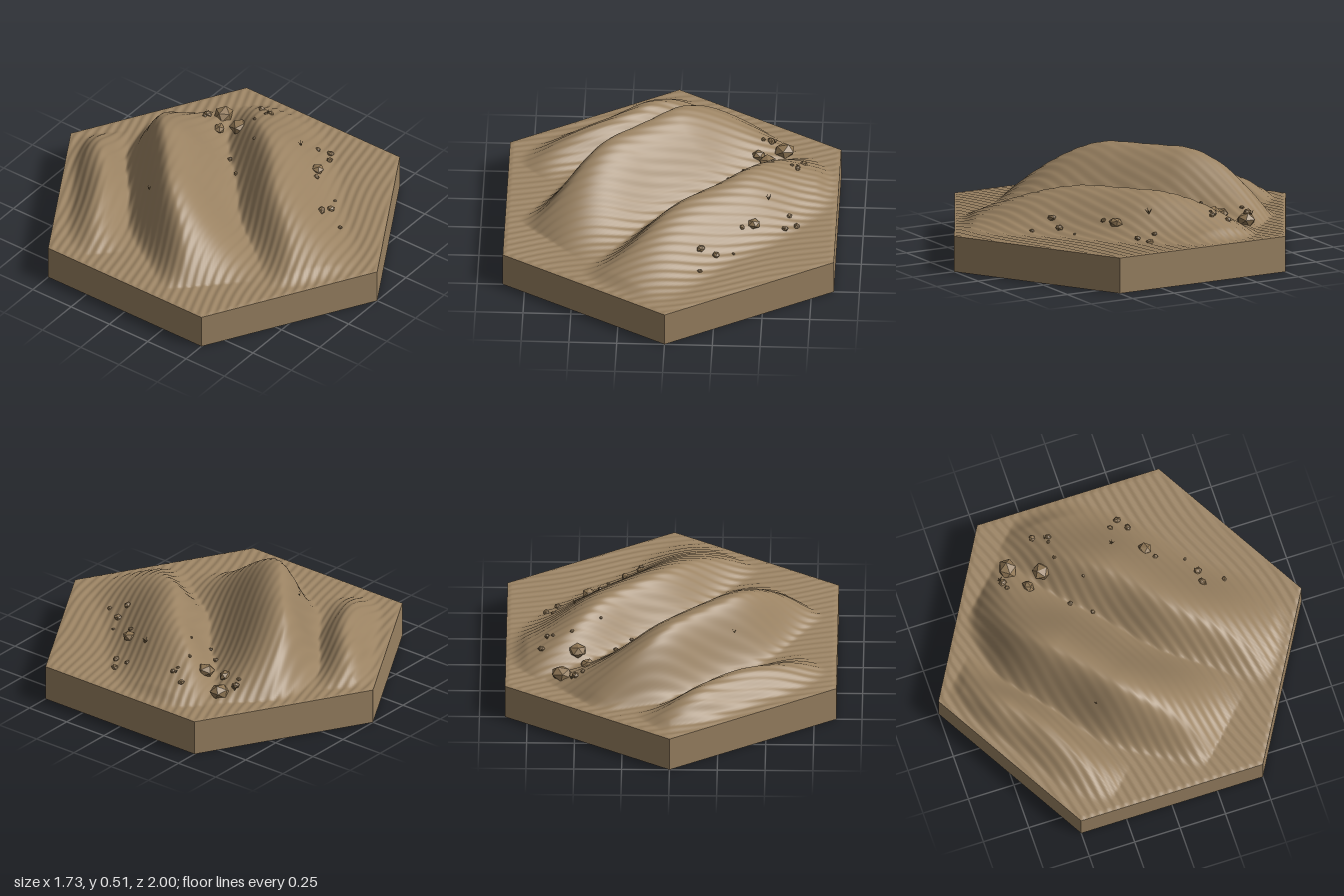
import * as THREE from 'three';
import { mergeVertices } from 'three/addons/utils/BufferGeometryUtils.js';

const BASE = 0.19;
const { smoothstep } = THREE.MathUtils;
const step = (a, b, t) => smoothstep(t, a, b);

// Each dune: u runs along its crest, v across it; the slip face is the short steep
// side, the windward face the long one. bend curves the far end of the crest.
const DUNES = [
  { height: 0.32, crest: -0.29, skew: 0, mid: 0, bend: 0.35, ends: [-0.7, -0.1, 0.24, 0.78], slip: 0.23, windward: 0.41 },
  { height: 0.21, crest: 0.27, skew: 0, mid: 0, bend: 0, ends: [-0.78, -0.05, 0.2, 0.8], slip: 0.23, windward: 0.37 },
  { height: 0.12, crest: -0.61, skew: 0.16, mid: 0.3, bend: 0, ends: [-0.35, 0.15, 0.35, 0.68], slip: 0.19, windward: 0.17 },
];

// Distance inwards from the nearest hexagon edge
function edgeDistance(x, z) {
  const ax = Math.abs(x), az = Math.abs(z);
  return Math.sqrt(0.75) - Math.max(ax, 0.5 * ax + Math.sqrt(0.75) * az);
}

function duneHeight(x, z) {
  const u = (x - z) * Math.SQRT1_2, v = (x + z) * Math.SQRT1_2;
  let sum = 0;
  for (const d of DUNES) {
    const [a, b, c, e] = d.ends;
    const along = Math.sqrt(step(a, b, u) * (1 - step(c, e, u)));
    const crest = d.crest + d.skew * (u - d.mid) + d.bend * Math.max(0, u - 0.1) ** 2 + 0.012 * Math.sin(u * 9);
    const w = v - crest;
    const slip = d.slip * (0.65 + 0.35 * along);
    const across = w < 0 ? step(-slip, 0, w) : 1 - step(0, d.windward, w);
    sum += Math.pow(d.height * along * across, 4);
  }
  return Math.pow(sum, 0.25);
}

// Dunes with wind ripples, fading to the flat rim
function ground(x, z) {
  const edge = edgeDistance(x, z);
  const h = duneHeight(x, z) * step(0, 0.12, edge);
  const phase = (0.31 * x + 0.95 * z + 0.012 * Math.sin(5 * x - 3 * z) + 0.006 * Math.sin(11 * x + 4 * z)) / 0.046;
  const ripple = 0.5 + 0.5 * Math.sin(phase * Math.PI * 2);
  return BASE + h + 0.0065 * ripple * (1 - 2 * h) * step(0, 0.02, edge);
}

// Six triangular sectors subdivided into an even triangle grid
function terrainGeometry(n) {
  const position = [], index = [];
  for (let s = 0; s < 6; s++) {
    const a = (s * Math.PI) / 3, b = a + Math.PI / 3, start = position.length / 3;
    const id = (i, j) => start + (i * (i + 1)) / 2 + j;
    for (let i = 0; i <= n; i++) {
      for (let j = 0; j <= i; j++) {
        const x = (Math.sin(a) * (i - j) + Math.sin(b) * j) / n;
        const z = (Math.cos(a) * (i - j) + Math.cos(b) * j) / n;
        position.push(x, ground(x, z), z);
        if (i < n) index.push(id(i, j), id(i + 1, j), id(i + 1, j + 1));
        if (j < i && i < n) index.push(id(i, j), id(i + 1, j + 1), id(i, j + 1));
      }
    }
  }
  const g = new THREE.BufferGeometry();
  g.setAttribute('position', new THREE.Float32BufferAttribute(position, 3));
  g.setIndex(index);
  const merged = mergeVertices(g, 1e-5);
  merged.computeVertexNormals();
  return merged;
}

// Rocks as [x, z, radius]
const ROCKS = [
  [0.57, -0.43, 0.06], [0.49, -0.27, 0.052], [0.44, -0.36, 0.038], [0.5, -0.48, 0.024], [0.46, -0.47, 0.014],
  [0.29, -0.18, 0.017], [0.52, -0.19, 0.012], [0.68, -0.26, 0.02], [0.65, -0.18, 0.018], [0.62, -0.19, 0.012],
  [0.44, 0.28, 0.038], [0.6, 0.24, 0.02], [0.66, 0.2, 0.023], [0.62, 0.15, 0.016], [0.38, 0.32, 0.016],
  [0.17, 0.51, 0.026], [0.25, 0.51, 0.024], [0.17, 0.63, 0.015], [0.34, 0.47, 0.01], [0.21, -0.08, 0.013],
  [0.37, -0.08, 0.01],
];
// Dry tufts as [x, z, size]
const TUFTS = [[0.51, 0.12, 0.035], [0.52, -0.49, 0.035], [0.65, -0.2, 0.025], [-0.33, -0.24, 0.025]];

export function createModel() {
  const model = new THREE.Group();
  model.name = 'desertTile';
  const sand = new THREE.MeshStandardMaterial({ color: 0x9a8262 });
  sand.name = 'sand';
  const stone = new THREE.MeshStandardMaterial({ color: 0x8f7654, flatShading: true });
  stone.name = 'stone';
  const straw = new THREE.MeshStandardMaterial({ color: 0x75603f });
  straw.name = 'dryGrass';

  const add = (geometry, material, name, parent = model) => {
    const mesh = new THREE.Mesh(geometry, material);
    mesh.name = name;
    parent.add(mesh);
    return mesh;
  };

  // Hexagonal plinth with flat sides
  const plinth = new THREE.CylinderGeometry(1, 1, BASE, 6).toNonIndexed();
  plinth.computeVertexNormals();
  add(plinth, sand, 'plinth').position.y = BASE / 2;

  add(terrainGeometry(105), sand, 'dunes');

  // Faceted rocks, partly sunk in the sand
  const rocks = new THREE.Group();
  rocks.name = 'rocks';
  model.add(rocks);
  const rockShape = new THREE.IcosahedronGeometry(1, 0);
  ROCKS.forEach(([x, z, r], i) => {
    const rock = add(rockShape, stone, 'rock', rocks);
    rock.position.set(x, ground(x, z) + r * 0.2, z);
    rock.scale.set(r, r * 0.7, r * (0.85 + 0.1 * Math.sin(i * 2)));
    rock.rotation.set(0.3 * Math.sin(i), i * 1.7, 0.2 * Math.cos(i * 3));
  });

  // Tufts of thin leaning blades
  const blade = new THREE.ConeGeometry(0.08, 1, 3).translate(0, 0.5, 0);
  TUFTS.forEach(([x, z, size], i) => {
    const tuft = new THREE.Group();
    tuft.name = 'tuft';
    for (let k = 0; k < 5; k++) {
      const stem = add(blade, straw, 'blade', tuft);
      stem.rotation.set(0, k * 1.257 + i, 0.55 + 0.15 * Math.sin(k * 2), 'YXZ');
    }
    tuft.position.set(x, ground(x, z), z);
    tuft.scale.setScalar(size);
    model.add(tuft);
  });

  return model;
}
